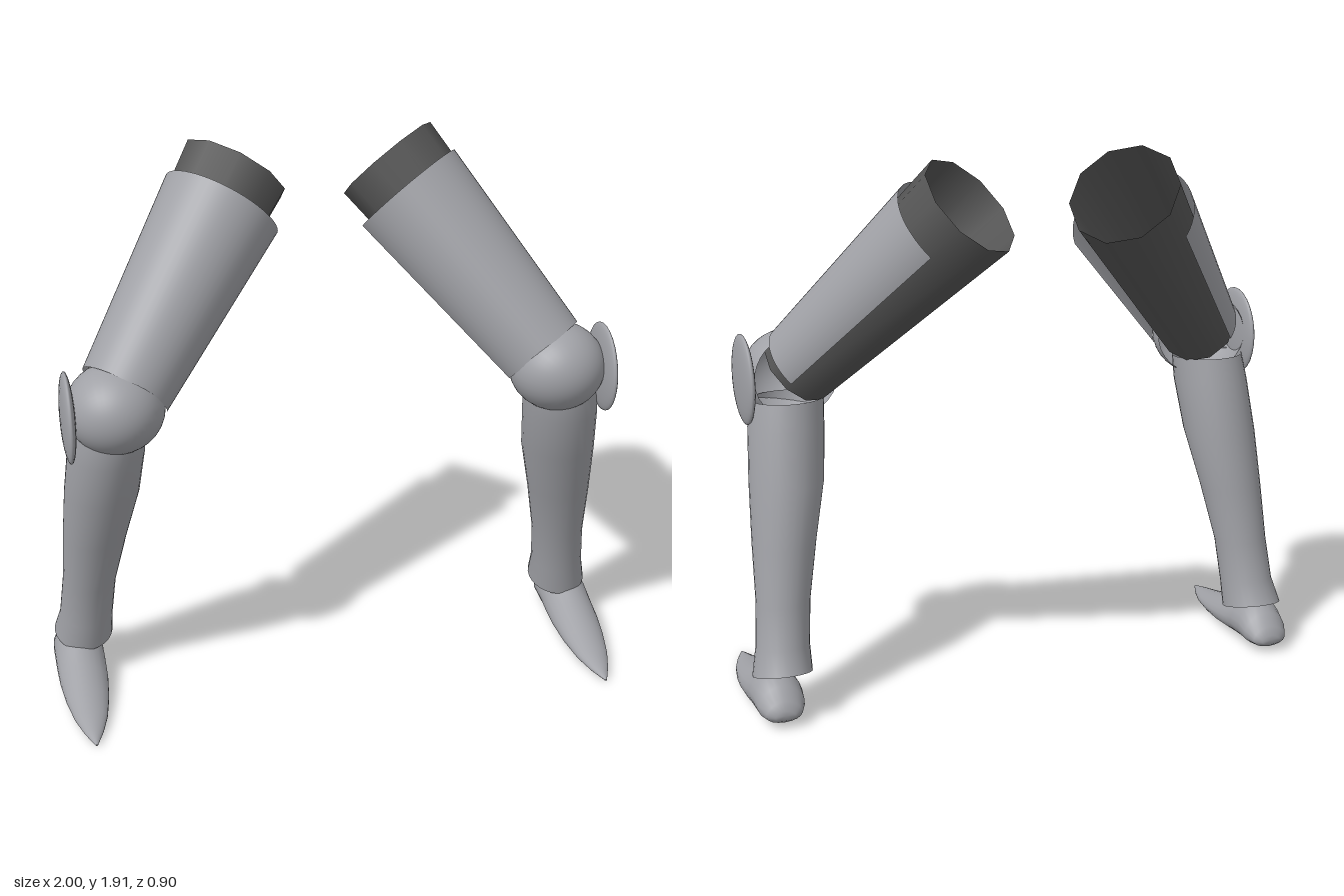
import * as THREE from 'three';

const V = (x, y, z) => new THREE.Vector3(x, y, z);
const rad = THREE.MathUtils.degToRad;

// Smooth closed skin through rings of points, with optional caps
function loft(rings, capped = false) {
  const n = rings[0].length, pos = [], idx = [];
  rings.forEach(r => r.forEach(p => pos.push(p.x, p.y, p.z)));
  for (let i = 0; i < rings.length - 1; i++) {
    for (let j = 0; j < n; j++) {
      const k = (j + 1) % n, a = i * n, b = a + n;
      idx.push(a + j, a + k, b + j, a + k, b + k, b + j);
    }
  }
  if (capped) {
    [0, rings.length - 1].forEach((r, end) => {
      const c = rings[r].reduce((s, p) => s.add(p), V(0, 0, 0)).divideScalar(n);
      const ci = pos.length / 3;
      pos.push(c.x, c.y, c.z);
      for (let j = 0; j < n; j++) {
        const a = r * n + j, b = r * n + (j + 1) % n;
        if (end) idx.push(ci, a, b); else idx.push(ci, b, a);
      }
    });
  }
  const g = new THREE.BufferGeometry();
  g.setAttribute('position', new THREE.Float32BufferAttribute(pos, 3));
  g.setIndex(idx);
  g.computeVertexNormals();
  return g;
}

// Open tapered tube from a to b; angle 0 faces upward, 90 faces outward
function limb(a, b, ra, rb, sides, from = 0, sweep = 360) {
  const axis = b.clone().sub(a), len = axis.length();
  axis.normalize();
  const up = V(0, 1, 0).addScaledVector(axis, -axis.y).normalize();
  const out = axis.clone().cross(up);
  const g = new THREE.CylinderGeometry(rb, ra, len, sides, 1, true, rad(from), rad(sweep));
  const mid = a.clone().add(b).multiplyScalar(0.5);
  return g.applyMatrix4(new THREE.Matrix4().makeBasis(out, axis, up).setPosition(mid));
}

// Greave: [x, y, z, half width, half depth, tilt]
function greaveGeometry() {
  const rows = [
    [0.888, 0.16, -0.08, 0.103, 0.107, 0.28], [0.877, 0.25, -0.05, 0.093, 0.095, 0.18],
    [0.863, 0.4, -0.02, 0.093, 0.095, 0.08], [0.84, 0.6, 0.03, 0.11, 0.115, 0],
    [0.812, 0.8, 0.08, 0.128, 0.137, 0], [0.795, 0.98, 0.13, 0.13, 0.14, 0.1],
    [0.785, 1.07, 0.145, 0.125, 0.13, 0.1],
  ];
  return loft(rows.map(([x, y, z, w, d, t]) => Array.from({ length: 28 }, (_, j) => {
    const a = -j / 28 * Math.PI * 2, dz = Math.sin(a) * d;
    return V(x + Math.cos(a) * w, y - dz * t, z + dz);
  })));
}

// Pointed shoe: [z, half width, sole height, top height]
function shoeGeometry() {
  const rows = [
    [-0.205, 0.035, 0.04, 0.075], [-0.19, 0.062, 0.028, 0.105], [-0.15, 0.08, 0.022, 0.145],
    [-0.1, 0.085, 0.02, 0.18], [-0.04, 0.086, 0.017, 0.175], [0.02, 0.086, 0.013, 0.145],
    [0.1, 0.084, 0.009, 0.118], [0.2, 0.074, 0.007, 0.085], [0.3, 0.056, 0.007, 0.056],
    [0.38, 0.032, 0.009, 0.038], [0.45, 0.004, 0.014, 0.022],
  ];
  return loft(rows.map(([z, w, lo, hi]) => Array.from({ length: 20 }, (_, j) => {
    const a = j / 20 * Math.PI * 2, s = Math.sin(a);
    return V(0.912 + Math.cos(a) * w * (1 - 0.2 * s), (lo + hi) / 2 + s * (hi - lo) / 2, z);
  })), true);
}

// Rounded knee cap, open behind
function kneeGeometry() {
  const g = new THREE.SphereGeometry(0.166, 32, 18, 0, Math.PI * 2, 0, rad(108));
  const q = new THREE.Quaternion().setFromUnitVectors(V(0, 1, 0), V(0.2, -0.05, 0.97).normalize());
  return g.applyQuaternion(q).scale(1, 0.92, 1).translate(0.762, 1.147, 0.172);
}

function mirrored(geometry) {
  const g = geometry.clone().scale(-1, 1, 1), ix = g.index.array;
  for (let i = 0; i < ix.length; i += 3) [ix[i], ix[i + 1]] = [ix[i + 1], ix[i]];
  return g;
}

export function createModel() {
  const steel = new THREE.MeshStandardMaterial({ color: 0xa0a1a6, side: THREE.DoubleSide });
  steel.name = 'steel';
  const cloth = new THREE.MeshStandardMaterial({ color: 0x555555, side: THREE.DoubleSide });
  cloth.name = 'dark padding';

  const parts = [
    ['thighPadding', limb(V(0.75, 1.165, 0.145), V(0.267, 1.78, -0.283), 0.135, 0.192, 10), cloth],
    ['thighPlate', limb(V(0.722, 1.185, 0.123), V(0.325, 1.68, -0.222), 0.157, 0.212, 32, -125, 227), steel],
    ['kneeCap', kneeGeometry(), steel],
    ['kneeWing', new THREE.SphereGeometry(1, 32, 16).scale(0.024, 0.156, 0.145).translate(0.922, 1.135, 0.188), steel],
    ['greave', greaveGeometry(), steel],
    ['shoe', shoeGeometry(), steel],
  ];

  const model = new THREE.Group();
  model.name = 'legArmour';
  for (const side of ['left', 'right']) {
    const leg = new THREE.Group();
    leg.name = side + 'Leg';
    for (const [name, geometry, material] of parts) {
      const mesh = new THREE.Mesh(side === 'left' ? geometry : mirrored(geometry), material);
      mesh.name = name;
      leg.add(mesh);
    }
    model.add(leg);
  }
  return model;
}
